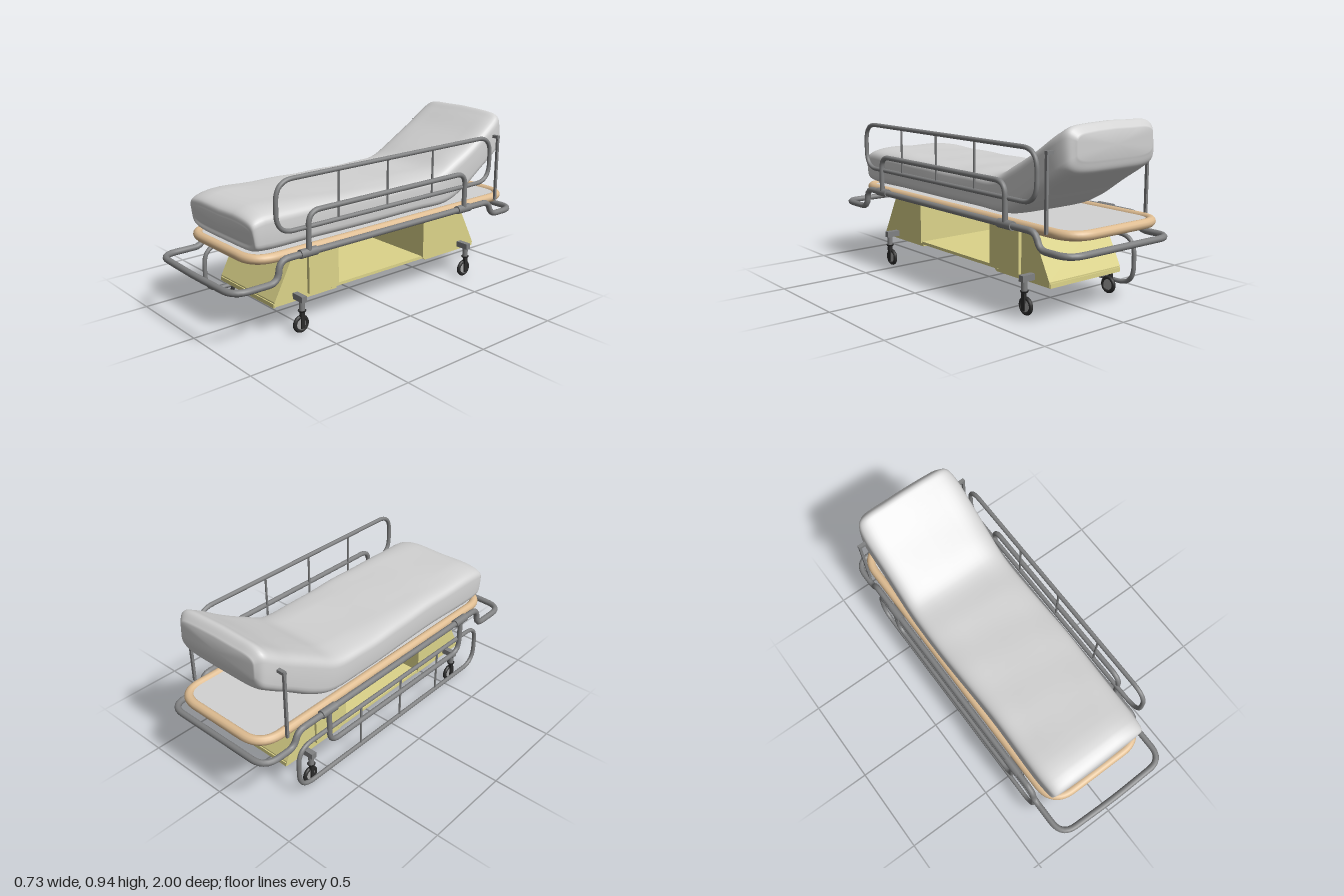
import * as THREE from 'three';

const mat = (name, color, extra = {}) => {
  const m = new THREE.MeshStandardMaterial({ color, ...extra });
  m.name = name;
  return m;
};
const V = (x, y, z) => new THREE.Vector3(x, y, z);

// Polyline with rounded corners, as a curve path
function roundedPath(pts, radius, closed) {
  const path = new THREE.CurvePath();
  const n = pts.length;
  const corners = pts.map((p, i) => {
    if (!closed && (i === 0 || i === n - 1)) return { a: p, b: p };
    const prev = pts[(i + n - 1) % n], next = pts[(i + 1) % n];
    const r = Math.min(radius, 0.48 * p.distanceTo(prev), 0.48 * p.distanceTo(next));
    const toward = (q) => p.clone().add(q.clone().sub(p).setLength(r));
    return { a: toward(prev), b: toward(next), p };
  });
  corners.forEach((c, i) => {
    if (c.p) path.add(new THREE.QuadraticBezierCurve3(c.a, c.p, c.b));
    if (closed || i < n - 1) path.add(new THREE.LineCurve3(c.b, corners[(i + 1) % n].a));
  });
  return path;
}

// Mattress: superellipse sections swept from foot to raised head
function mattressGeometry() {
  // bottom z, bottom y, top z, top y, half width
  const stations = [
    [0.80, 0.50, 0.828, 0.60, 0.26], [0.80, 0.47, 0.82, 0.64, 0.287], [0.75, 0.458, 0.75, 0.668, 0.297],
    [0.4, 0.46, 0.4, 0.664, 0.30], [0.05, 0.46, 0.05, 0.657, 0.305], [-0.25, 0.46, -0.2, 0.657, 0.305],
    [-0.48, 0.462, -0.40, 0.668, 0.305], [-0.60, 0.51, -0.53, 0.73, 0.305], [-0.75, 0.61, -0.70, 0.825, 0.305],
    [-0.86, 0.68, -0.83, 0.908, 0.302], [-0.91, 0.715, -0.885, 0.938, 0.287], [-0.928, 0.77, -0.93, 0.90, 0.25],
  ];
  const low = new THREE.CatmullRomCurve3(stations.map((s) => V(s[4], s[1], s[0])));
  const high = new THREE.CatmullRomCurve3(stations.map((s) => V(s[4], s[3], s[2])));
  const rows = 66, cols = 48, pos = [], index = [];
  const power = (v) => Math.sign(v) * Math.abs(v) ** 0.4;
  for (let i = 0; i <= rows; i++) {
    const b = low.getPoint(i / rows), t = high.getPoint(i / rows);
    for (let j = 0; j < cols; j++) {
      const a = (j / cols) * Math.PI * 2;
      const x = b.x * power(Math.cos(a)), k = 0.5 + 0.5 * power(Math.sin(a));
      const z = b.z + (t.z - b.z) * k;
      // soft creases in the cover
      const crease = k * 0.004 * Math.sin(9 * x + 13 * z) * Math.cos(14 * x - 7 * z);
      pos.push(x + 0.004 * Math.sin(z * 7), b.y + (t.y - b.y) * k + crease, z);
    }
  }
  for (let i = 0; i < rows; i++) {
    for (let j = 0; j < cols; j++) {
      const a = i * cols + j, b = i * cols + ((j + 1) % cols);
      index.push(a, a + cols, b, b, a + cols, b + cols);
    }
  }
  const foot = pos.length / 3, head = foot + 1, last = rows * cols;
  pos.push(0, 0.55, 0.828, 0, 0.835, -0.937);
  for (let j = 0; j < cols; j++) {
    const k = (j + 1) % cols;
    index.push(foot, j, k, head, last + k, last + j);
  }
  const g = new THREE.BufferGeometry();
  g.setAttribute('position', new THREE.Float32BufferAttribute(pos, 3));
  g.setIndex(index);
  g.computeVertexNormals();
  return g;
}

export function createModel() {
  const model = new THREE.Group();
  model.name = 'hospitalStretcher';
  const sheet = mat('sheet grey', 0xd2d2d2);
  const metal = mat('metal grey', 0x808182);
  const tan = mat('tan bumper', 0xdfbd92);
  const yellow = mat('pale yellow', 0xdcd48a);
  const rubber = mat('black rubber', 0x2b2b2b);
  const hubGrey = mat('hub grey', 0xa8a8a8);

  const add = (name, geo, material, x = 0, y = 0, z = 0, parent = model) => {
    const m = new THREE.Mesh(geo, material);
    m.name = name;
    m.position.set(x, y, z);
    parent.add(m);
    return m;
  };
  const tube = (name, pts, r, corner, closed, material, parent = model) =>
    add(name, new THREE.TubeGeometry(roundedPath(pts, corner, closed), closed ? 260 : 120, r, 12, closed), material, 0, 0, 0, parent);
  const box = (name, w, h, d, material, x, y, z, parent) =>
    add(name, new THREE.BoxGeometry(w, h, d), material, x, y, z, parent);

  add('mattress', mattressGeometry(), sheet);

  // Bed deck with rounded corners, edged by the bumper
  const dx = 0.295, zf = 0.825, zb = -0.955;
  const deckCorners = [V(-dx, 0.44, zf), V(dx, 0.44, zf), V(dx, 0.44, zb), V(-dx, 0.44, zb)];
  tube('bumper', deckCorners, 0.025, 0.13, true, tan);
  const outline = roundedPath(deckCorners, 0.13, true).getPoints(8).map((p) => new THREE.Vector2(p.x, -p.z));
  const deck = new THREE.ExtrudeGeometry(new THREE.Shape(outline), { depth: 0.02, bevelEnabled: false });
  deck.rotateX(-Math.PI / 2);
  add('deck', deck, sheet, 0, 0.432, 0);

  // Outer tube frame, dropping at both ends into push bars
  const side = [[0.33, 0.975], [0.33, 0.725], [0.44, 0.715], [0.44, -0.76], [0.36, -0.79], [0.36, -0.983]];
  const framePts = [
    V(0, 0.33, 0.984), ...side.map(([y, z]) => V(0.343, y, z)),
    ...[...side].reverse().map(([y, z]) => V(-0.343, y, z)),
  ];
  tube('outerFrame', framePts, 0.017, 0.09, true, metal);

  // Guard rails: one raised, one folded down
  for (const [s, up, name] of [[1, 1, 'raisedRail'], [-1, -1, 'loweredRail']]) {
    const rail = new THREE.Group();
    rail.name = name;
    model.add(rail);
    const y = (h) => 0.443 + up * h;
    const x = s * 0.338, ux = s * 0.349;
    tube('railLoop', [V(x, y(0.125), 0.725), V(x, y(0.38), 0.725), V(x, y(0.38), -0.76), V(x, y(0.125), -0.76)],
      0.012, 0.1, true, metal, rail);
    tube('railSupport', [V(ux, y(0), 0.545), V(ux, y(0.205), 0.545), V(ux, y(0.205), -0.55), V(ux, y(0), -0.55)],
      0.014, 0.07, false, metal, rail);
    for (const z of [0.35, 0.025, -0.3]) {
      add('railBar', new THREE.CylinderGeometry(0.006, 0.006, 0.255, 8), metal, x, y(0.2525), z, rail);
    }
    for (const z of [0.545, -0.55]) {
      const sleeve = add('railSleeve', new THREE.CylinderGeometry(0.023, 0.023, 0.1, 16), metal, s * 0.343, 0.441, z, rail);
      sleeve.rotation.x = Math.PI / 2;
    }
  }

  // Posts beside the head section
  for (const s of [1, -1]) {
    box('headPost', 0.014, 0.38, 0.014, metal, s * 0.338, 0.63, -0.825);
    box('headPostArm', 0.055, 0.016, 0.02, metal, s * 0.318, 0.811, -0.825);
  }

  // Base: two sloped housings joined by a thin floor
  const housing = (name, profile, halfWidth) => {
    const shape = new THREE.Shape(profile.map(([z, y]) => new THREE.Vector2(-z, y)));
    const g = new THREE.ExtrudeGeometry(shape, { depth: halfWidth * 2, bevelEnabled: false });
    g.rotateY(Math.PI / 2);
    add(name, g, yellow, -halfWidth, 0, 0);
  };
  housing('frontHousing', [[0.68, 0.155], [0.68, 0.18], [0.55, 0.43], [0.29, 0.43], [0.29, 0.155]], 0.243);
  housing('rearHousing', [[-0.75, 0.152], [-0.75, 0.18], [-0.62, 0.43], [-0.325, 0.43], [-0.325, 0.18], [-0.36, 0.152]], 0.243);
  box('frontLip', 0.48, 0.022, 0.012, yellow, 0, 0.162, 0.68);
  box('rearLip', 0.48, 0.022, 0.012, yellow, 0, 0.162, -0.75);
  box('frontSideBox', 0.516, 0.25, 0.19, yellow, 0.003, 0.303, 0.383);
  box('rearSideBox', 0.516, 0.25, 0.225, yellow, 0.003, 0.303, -0.436);
  box('baseFloor', 0.5, 0.016, 0.7, yellow, 0, 0.176, -0.025);

  // Casters on short outriggers
  for (const s of [1, -1]) {
    for (const z of [0.555, -0.635]) {
      const caster = new THREE.Group();
      caster.name = 'caster';
      caster.position.set(s * 0.29, 0, z);
      model.add(caster);
      box('outrigger', 0.085, 0.032, 0.03, metal, s * -0.012, 0.187, 0, caster);
      add('stem', new THREE.CylinderGeometry(0.015, 0.015, 0.07, 16), metal, s * 0.008, 0.155, 0, caster);
      add('swivelPlate', new THREE.CylinderGeometry(0.022, 0.018, 0.008, 16), rubber, s * 0.008, 0.121, 0, caster);
      add('swivelNeck', new THREE.CylinderGeometry(0.012, 0.012, 0.03, 12), rubber, s * 0.008, 0.106, 0, caster);
      box('forkArm', 0.008, 0.085, 0.022, rubber, s * 0.015, 0.07, 0, caster);
      const tire = add('tire', new THREE.TorusGeometry(0.037, 0.0105, 10, 28), rubber, s * -0.003, 0.0475, 0, caster);
      tire.rotation.y = Math.PI / 2;
      const hub = add('hub', new THREE.CylinderGeometry(0.03, 0.03, 0.012, 24), hubGrey, s * -0.003, 0.0475, 0, caster);
      hub.rotation.z = Math.PI / 2;
    }
  }
  return model;
}
